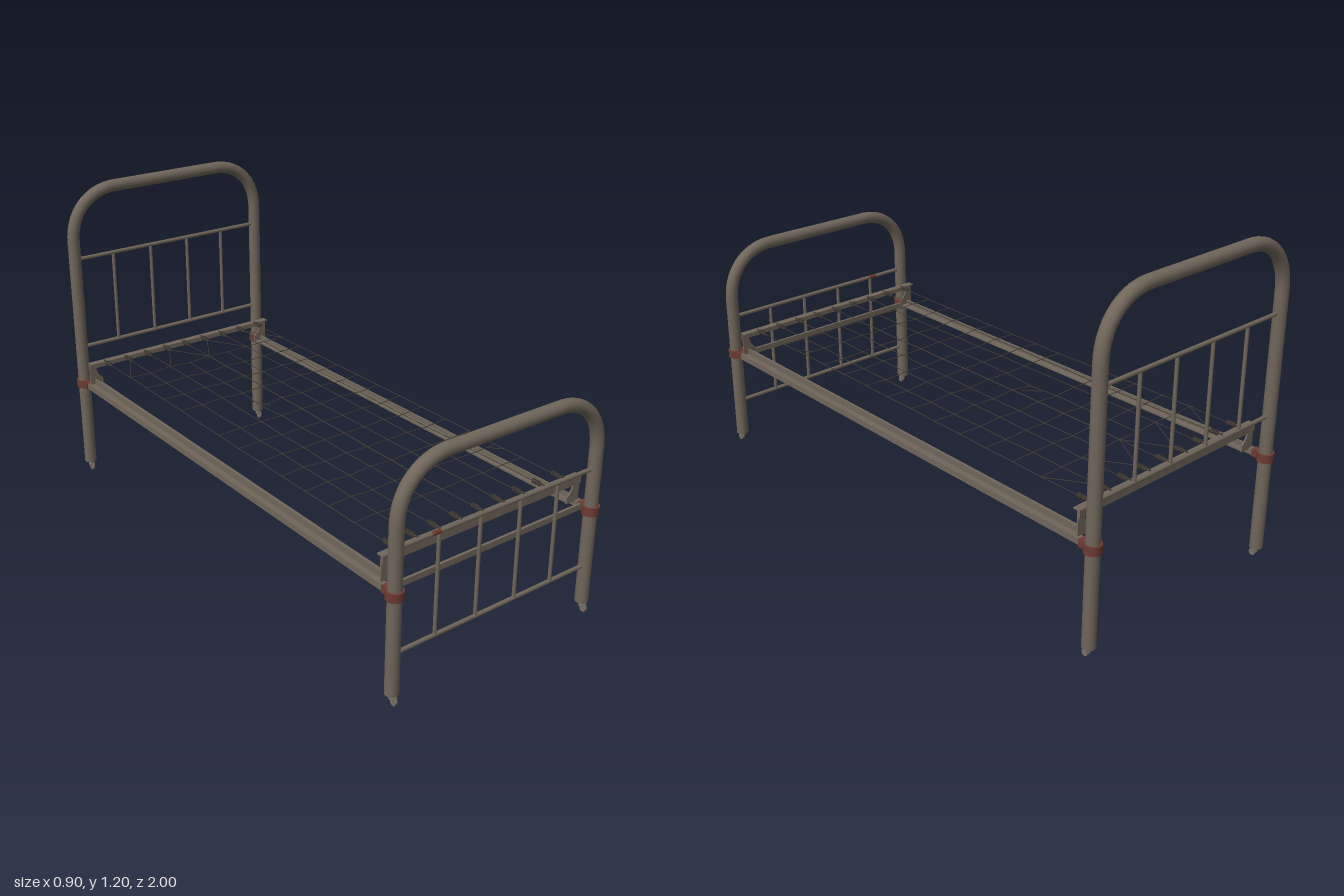
import * as THREE from 'three';
import { mergeGeometries } from 'three/addons/utils/BufferGeometryUtils.js';

const mat = (name, color) => {
  const m = new THREE.MeshStandardMaterial({ color });
  m.name = name;
  return m;
};
const V = (x, y, z) => new THREE.Vector3(x, y, z);

export function createModel() {
  const paint = mat('taupe paint', 0x70665a);
  const rust = mat('rust red', 0x6e3a33);
  const wire = mat('dark wire', 0x453f38);
  const steel = mat('caster steel', 0x787066);
  const bed = new THREE.Group();
  bed.name = 'bed';

  const add = (parent, name, geo, material, x = 0, y = 0, z = 0) => {
    const m = new THREE.Mesh(geo, material);
    m.name = name;
    m.position.set(x, y, z);
    parent.add(m);
    return m;
  };
  const box = (parent, name, w, h, d, x, y, z, material = paint) =>
    add(parent, name, new THREE.BoxGeometry(w, h, d), material, x, y, z);
  // straight round bar between two points
  const rodGeo = (a, b, r, sides = 8) => {
    const d = b.clone().sub(a);
    const g = new THREE.CylinderGeometry(r, r, d.length(), sides, 1);
    g.applyQuaternion(new THREE.Quaternion().setFromUnitVectors(V(0, 1, 0), d.normalize()));
    return g.translate((a.x + b.x) / 2, (a.y + b.y) / 2, (a.z + b.z) / 2);
  };

  const POST = 0.422, R = 0.0235, END = 0.97, RAIL_Y = 0.392;

  // bent tube frame with two rails, four spindles, collars and casters
  function endFrame(name, z, top, railTop, corner) {
    const g = new THREE.Group();
    g.name = name;
    g.position.z = z;
    bed.add(g);
    const path = new THREE.CurvePath();
    const k = corner * 0.59;
    const sx = POST - corner, sy = top - corner;
    path.add(new THREE.LineCurve3(V(-POST, 0.04, 0), V(-POST, sy, 0)));
    path.add(new THREE.CubicBezierCurve3(V(-POST, sy, 0), V(-POST, sy + k, 0), V(-sx - k, top, 0), V(-sx, top, 0)));
    path.add(new THREE.LineCurve3(V(-sx, top, 0), V(sx, top, 0)));
    path.add(new THREE.CubicBezierCurve3(V(sx, top, 0), V(sx + k, top, 0), V(POST, sy + k, 0), V(POST, sy, 0)));
    path.add(new THREE.LineCurve3(V(POST, sy, 0), V(POST, 0.04, 0)));
    add(g, 'bentTube', new THREE.TubeGeometry(path, 120, R, 16), paint);

    const railLow = railTop - 0.365;
    for (const y of [railTop, railLow])
      add(g, 'rail', rodGeo(V(-POST, y, 0), V(POST, y, 0), 0.0075, 10), paint);
    for (const x of [-0.255, -0.085, 0.085, 0.25])
      add(g, 'spindle', rodGeo(V(x, railLow, 0), V(x, railTop, 0), 0.0065, 10), paint);

    for (const s of [-1, 1]) {
      add(g, 'collar', new THREE.CylinderGeometry(0.03, 0.03, 0.031, 16), rust, s * POST, RAIL_Y, 0);
      box(g, 'collarLug', 0.028, 0.027, 0.044, s * POST, RAIL_Y, -Math.sign(z) * 0.024, rust);
      add(g, 'tubeCap', new THREE.CylinderGeometry(R, R, 0.004, 16), paint, s * POST, 0.04, 0);
      add(g, 'casterStem', new THREE.CylinderGeometry(0.008, 0.01, 0.024, 10), steel, s * POST, 0.03, 0.003);
      add(g, 'casterFork', new THREE.BoxGeometry(0.02, 0.008, 0.018), steel, s * POST, 0.023, 0.007);
      add(g, 'casterWheel', new THREE.CylinderGeometry(0.012, 0.012, 0.011, 14).rotateZ(Math.PI / 2), steel, s * POST, 0.012, 0.012);
    }
    return g;
  }
  endFrame('headboard', -END, 1.177, 0.91, 0.192);
  const foot = endFrame('footboard', END, 0.812, 0.545, 0.192);
  add(foot, 'rustSleeve', rodGeo(V(-0.285, 0.545, 0), V(-0.25, 0.545, 0), 0.0082, 10), rust);
  box(foot, 'lowerCrossBar', 0.82, 0.021, 0.01, 0, RAIL_Y, -0.034);

  // side rails: square bar plus an inner angle iron
  for (const s of [-1, 1]) {
    const g = new THREE.Group();
    g.name = s > 0 ? 'leftSideRail' : 'rightSideRail';
    bed.add(g);
    box(g, 'outerBar', 0.022, 0.022, 1.9, s * 0.421, RAIL_Y, 0);
    box(g, 'angleFlat', 0.03, 0.006, 1.82, s * 0.391, 0.402, 0);
    box(g, 'angleUpright', 0.006, 0.022, 1.82, s * 0.403, 0.411, 0);
  }

  // raised cross angles carrying the wire mesh, with curved gussets
  const gusset = new THREE.Shape();
  gusset.moveTo(0.37, 0.4);
  gusset.lineTo(0.425, 0.4);
  gusset.lineTo(0.425, 0.49);
  gusset.lineTo(0.398, 0.49);
  gusset.lineTo(0.397, 0.462);
  gusset.quadraticCurveTo(0.392, 0.44, 0.371, 0.424);
  gusset.closePath();
  const gussetGeo = new THREE.ExtrudeGeometry(gusset, { depth: 0.006, bevelEnabled: false, curveSegments: 6 });
  for (const s of [-1, 1]) {
    const g = new THREE.Group();
    g.name = s > 0 ? 'footCrossAngle' : 'headCrossAngle';
    bed.add(g);
    box(g, 'crossUpright', 0.85, 0.028, 0.005, 0, 0.48, s * 0.914);
    box(g, 'crossFlat', 0.85, 0.005, 0.028, 0, 0.4915, s * 0.903);
    add(g, 'leftGusset', gussetGeo, paint, 0, 0, s * 0.908 - 0.003);
    const m = add(g, 'rightGusset', gussetGeo, paint, 0, 0, s * 0.908 + 0.003);
    m.rotation.y = Math.PI;
  }

  // slightly uneven grid of wires
  const COLS = 9, ROWS = 12;
  const wob = (i, j) => Math.sin(i * 12.9 + j * 78.2);
  const colX = (i) => -0.363 + i * 0.0905;
  const node = (i, j) => V(
    colX(i) + 0.0015 * wob(i, j),
    0.491 + 0.003 * wob(j, i + 3) - (j === 4 && i === 3 ? 0.008 : 0),
    -0.69 + j * 0.1268 + 0.002 * wob(i + 5, j));
  const wires = [];
  const link = (a, b, r = 0.0015) => wires.push(rodGeo(a, b, r, 5));
  for (let j = 0; j < ROWS; j++)
    for (let i = 0; i < COLS; i++) {
      const p = node(i, j);
      wires.push(new THREE.SphereGeometry(0.0032, 6, 4).translate(p.x, p.y, p.z));
      if (i < COLS - 1 && !(j === 4 && i < 3)) link(p, node(i + 1, j));
      if (j < ROWS - 1) link(p, node(i, j + 1), i === 4 ? 0.002 : 0.0015);
    }
  // end links: straight at the foot, fanned at the head
  for (let i = 0; i < COLS; i++) {
    const hook = V(colX(i), 0.492, -0.845);
    link(node(i, ROWS - 1), V(colX(i), 0.492, 0.845));
    if (i % 2 === 0 || i === 1 || i === 7) link(hook, node(i, 0), 0.0013);
    if (i % 2 === 1 && i !== 7) link(hook, node(i - 1, 0));
    if (i % 2 === 1 && i !== 1) link(hook, node(i + 1, 0));
  }
  // loose broken strands
  link(node(3, 4).add(V(0, 0, -0.06)), node(3, 4).add(V(0.04, -0.006, 0)));
  link(node(8, 10).add(V(-0.04, 0, 0)), node(8, 10).add(V(0, 0, 0.045)));
  add(bed, 'wireMesh', mergeGeometries(wires), wire);

  // coil springs hooked to the cross angles
  class Coil extends THREE.Curve {
    getPoint(t, out = new THREE.Vector3()) {
      const a = t * Math.PI * 2 * 5;
      return out.set(0.0065 * Math.cos(a), 0.0065 * Math.sin(a), (t - 0.5) * 0.034);
    }
  }
  const coil = new THREE.TubeGeometry(new Coil(), 60, 0.0026, 5);
  for (const s of [-1, 1])
    for (let i = 0; i < COLS; i++) {
      add(bed, 'spring', coil, wire, colX(i), 0.494, s * 0.863);
      add(bed, 'springHook', rodGeo(V(0, 0, -0.01), V(0, 0, 0.01), 0.0035, 6), wire, colX(i), 0.496, s * 0.888);
    }
  return bed;
}
